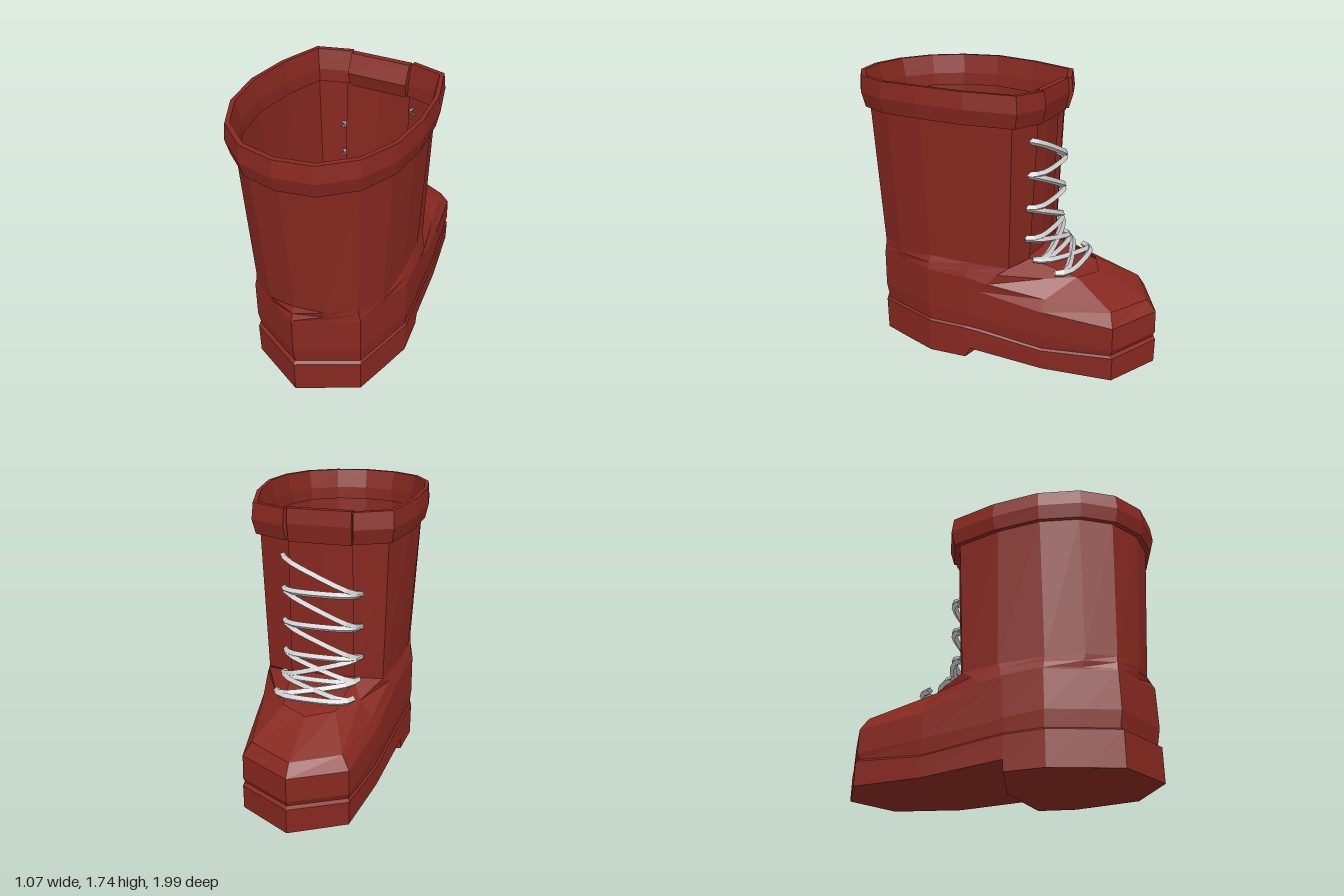
import * as THREE from 'three';

const leather = new THREE.MeshStandardMaterial({ color: 0x86281f, flatShading: true, side: THREE.DoubleSide });
const cord = new THREE.MeshStandardMaterial({ color: 0xcccccc, flatShading: true, side: THREE.DoubleSide });

// Skin a list of rows (each a list of [x, y, z]) with flat facets
function loft(rows, closed = false) {
  const pos = [];
  const v = rows.map(row => row.map(p => new THREE.Vector3(...p)));
  const tri = (a, b, c) => {
    const area = b.clone().sub(a).cross(c.clone().sub(a)).length();
    if (area > 1e-7) for (const p of [a, b, c]) pos.push(p.x, p.y, p.z);
  };
  for (let r = 0; r < v.length - 1; r++) {
    const n = v[r].length;
    for (let c = 0; c < (closed ? n : n - 1); c++) {
      const d = (c + 1) % n;
      tri(v[r][c], v[r + 1][c], v[r][d]);
      tri(v[r][d], v[r + 1][c], v[r + 1][d]);
    }
  }
  const g = new THREE.BufferGeometry();
  g.setAttribute('position', new THREE.Float32BufferAttribute(pos, 3));
  g.computeVertexNormals();
  return g;
}

const mirror = p => [-p[0], p[1], p[2]];
// Half ring from toe to heel centre -> full ring; closed rings share the toe point
const full = (half, closed) => [...half, ...half.slice(closed ? 1 : 0, -1).reverse().map(mirror)];

// Half outline of the foot: toe tip, toe corner, ball, waist (twice), side, heel
const outline = [[0, -1], [.32, -.83], [.39, -.4], [.44, 0], [.455, .1],
  [.48, .34], [.42, .55], [.36, .75], [.18, .84], [0, .93]];
const level = (s, ys) => outline.map(([x, z], i) => [x * s, ys[Math.min(i, ys.length - 1)], z * s]);

// Half outlines of the shaft from front flap edge to the back seam
const shaftLow = [[.2, .655, -.23], [.37, .645, -.17], [.42, .655, .06], [.44, .66, .34],
  [.42, .66, .57], [.34, .66, .74], [.18, .66, .85], [0, .66, .88]];
const shaftTop = [[.19, -.27], [.39, -.2], [.465, .07], [.49, .34], [.46, .58],
  [.365, .77], [.2, .9], [0, .94]];
const topRing = (s, y) => shaftTop.map(([x, z], i) =>
  [x * s, y + [-.02, -.012, 0, .01, .005, 0, -.005, -.005][i], .34 + (z - .34) * s]);

export function createModel() {
  const boot = new THREE.Group();
  boot.name = 'boot';
  const add = (name, geometry, material = leather, parent = boot) => {
    const m = new THREE.Mesh(geometry, material);
    m.name = name;
    parent.add(m);
  };

  // Sole side wall with the welt step on top
  const soleBottom = level(1, [.02, .02, .02, .07, 0]);
  soleBottom[3] = [.455, .07, .1];
  const soleTopY = [.175, .17, .145, .2, .21, .215];
  const weltY = soleTopY.map(y => y + .012);
  const welt = level(.975, weltY);
  add('soleWall', loft([soleBottom, level(1, soleTopY), welt].map(r => full(r, true)), true));

  // Underside: flat forefoot, rising arch, V-shaped heel breast, heel
  const under = [[0, .02, -1, -1], [.32, .02, -.83, -.83], [.39, .02, -.4, -.4], [.455, .07, .1, .01],
    [.455, 0, .1, .01], [.48, 0, .34, .34], [.36, 0, .75, .75], [0, 0, .93, .93]];
  add('soleUnderside', loft(under.map(([w, y, z, zc]) => [[w, y, z], [0, y, zc], [-w, y, z]]).reverse()));

  // Foot: rings climbing from the welt to the shaft, open over the instep
  const instep = [[0, .56, -.61], [.16, .575, -.53]];
  const foot = [
    welt,
    level(.995, [.225, .22, .25, .29, .31, .33]),
    level(.99, [.37, .37, .41, .48, .52, .57]),
    [[0, .44, -.93], [.27, .45, -.79], [.35, .48, -.4], [.43, .54, -.05], [.45, .565, .08],
      [.475, .58, .34], [.415, .58, .55], [.355, .58, .74], [.178, .58, .83], [0, .58, .92]],
    [...instep, [.27, .575, -.36], [.4, .6, -.1], [.435, .615, .08],
      [.46, .62, .34], [.42, .62, .56], [.345, .62, .74], [.18, .62, .84], [0, .62, .9]],
    [...instep, ...shaftLow],
  ];
  add('foot', loft(foot.map(r => full(r, true)), true));

  // Shaft, open at the front behind the laces
  add('shaft', loft([full(shaftLow), full(topRing(1, 1.54))]));

  // Thick cuff; the extra end column closes both front ends
  const cuff = [[1, 1.54], [1.05, 1.54], [1.09, 1.63], [1.07, 1.73], [1.02, 1.73],
    [.97, 1.61], [.965, 1.53], [1, 1.54]];
  const endCap = topRing(1.03, 1.63)[0];
  add('cuff', loft(cuff.map(([s, y]) => full([endCap, ...topRing(s, y)]))));

  // Tongue running from under the instep to the top
  const tongue = [[.18, .52, -.63], [.21, .59, -.38], [.22, .65, -.22], [.21, 1.52, -.25]];
  add('tongue', loft(tongue.map(([w, y, z]) => [[-w, y, z + .02], [0, y, z], [w, y, z + .02]])));

  // Padded top of the tongue: a closed section swept across the width
  const pad = [[1.51, -.285], [1.62, -.305], [1.71, -.295], [1.71, -.255], [1.6, -.2], [1.51, -.225]];
  const padCols = [[-.19, 0], [-.19, 1], [.19, 1], [.19, 0]];
  add('tonguePad', loft(padCols.map(([x, k]) =>
    pad.map(([y, z]) => [x, 1.61 + (y - 1.61) * k, -.26 + (z + .26) * k])), true));

  // Laces: cross bars and the diagonals that join them
  const laces = new THREE.Group();
  laces.name = 'laces';
  boot.add(laces);
  const strand = (name, [y0, z0], [y1, z1], dir) => {
    const path = [[-.24, .055], [-.2, -.005], [0, -.03], [.2, -.005], [.24, .055]].map(([x, dz]) => {
      const t = (x + .24) / .48;
      return new THREE.Vector3(x * dir, y0 + (y1 - y0) * t, z0 + (z1 - z0) * t + dz);
    });
    add(name, new THREE.TubeGeometry(new THREE.CatmullRomCurve3(path), 10, .021, 4), cord, laces);
  };
  const eyelets = [[1.42, -.285], [1.21, -.28], [1, -.275], [.8, -.27], [.67, -.325], [.61, -.47]];
  eyelets.forEach((e, i) => {
    if (i > 0) {
      strand('laceBar', e, e, 1);
      strand('laceDiagonal', eyelets[i - 1], e, -1);
    }
    if (i > 3) strand('laceDiagonal', eyelets[i - 1], e, 1);
  });

  return boot;
}
